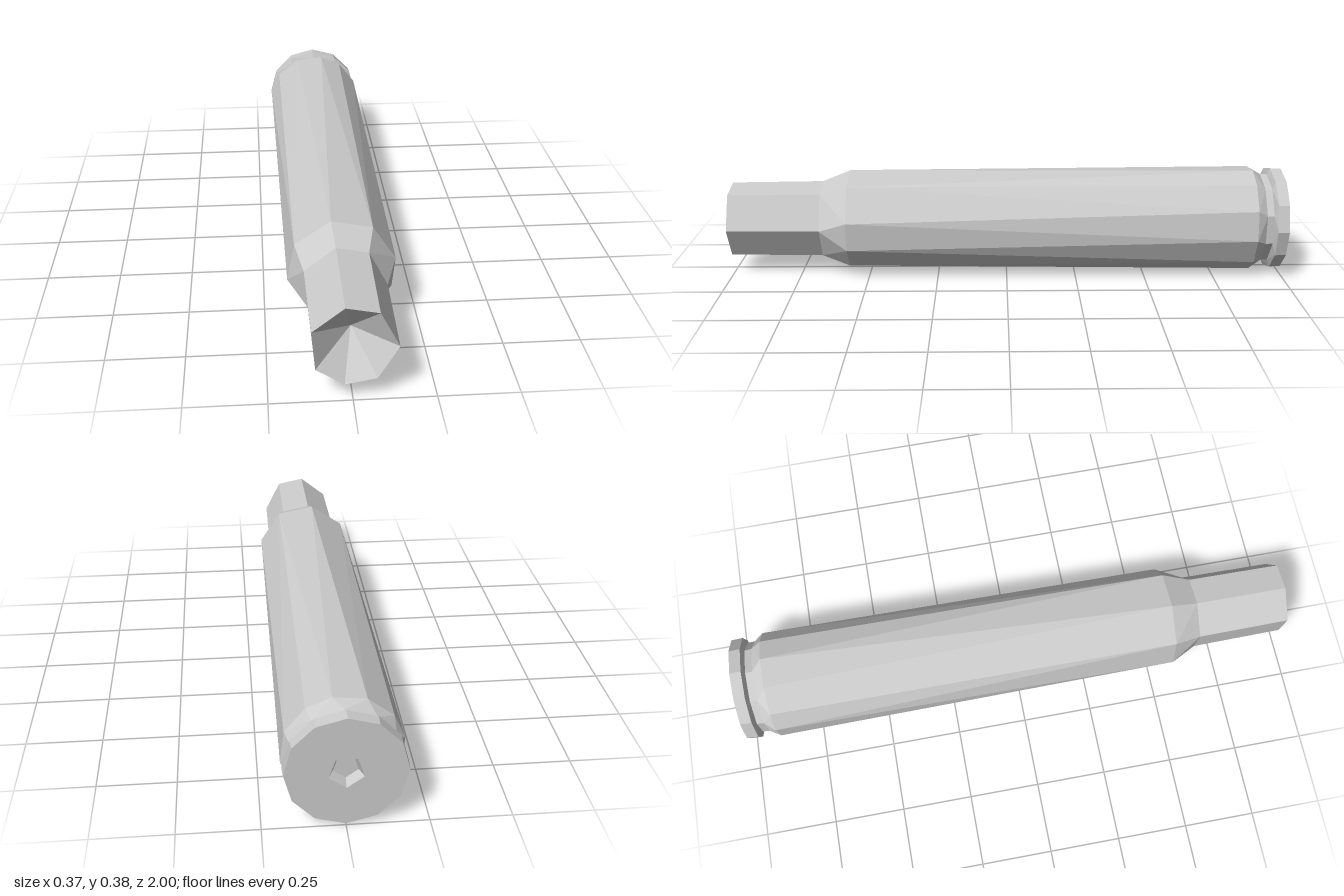
import * as THREE from 'three';

const AXIS_Y = 0.189;
const material = new THREE.MeshStandardMaterial({ color: 0xcccccc, flatShading: true });

// Evenly spaced angles in degrees, starting at the underside
const even = (n, start = -90) => Array.from({ length: n }, (_, i) => start + (360 / n) * i);

// A ring is a polygon of given angles and radius across the long axis
const ring = (z, r, angles) => ({ z, r, angles });

function ringPoint({ z, r, angles }, i) {
  const a = THREE.MathUtils.degToRad(angles[i % angles.length]);
  return [r * Math.cos(a), AXIS_Y + r * Math.sin(a), z];
}

// Joins two rings, even with different side counts, by walking both in angle order
function stitch(a, b, out) {
  const na = a.angles.length, nb = b.angles.length;
  const angle = (g, i) => g.angles[i % g.angles.length] + 360 * Math.floor(i / g.angles.length);
  let i = 0, j = 0;
  while (i < na || j < nb) {
    const midA = angle(a, i) + angle(a, i + 1), midB = angle(b, j) + angle(b, j + 1);
    const stepA = j === nb || (i < na && midA <= midB);
    if (stepA) {
      if (na > 1) out.push(...ringPoint(a, i), ...ringPoint(b, j), ...ringPoint(a, i + 1));
      i++;
    } else {
      if (nb > 1) out.push(...ringPoint(a, i), ...ringPoint(b, j), ...ringPoint(b, j + 1));
      j++;
    }
  }
}

function loft(name, rings) {
  const positions = [];
  for (let k = 0; k + 1 < rings.length; k++) stitch(rings[k], rings[k + 1], positions);
  const geometry = new THREE.BufferGeometry();
  geometry.setAttribute('position', new THREE.Float32BufferAttribute(positions, 3));
  geometry.computeVertexNormals();
  const mesh = new THREE.Mesh(geometry, material);
  mesh.name = name;
  return mesh;
}

export function createModel() {
  const group = new THREE.Group();
  group.name = 'cartridgeCase';

  const neckAngles = [-101, -58, -2, 56, 101, 156, 214];
  const shoulderAngles = [-90, -56, -23, 11, 56, 101, 148, 191, 235];
  const bodyAngles = [-90, -68, -42, -10, 23, 54, 80, 112, 143, 169, 202, 235];

  const mouth = ring(1, 0.134, neckAngles);
  const neckBase = ring(0.67, 0.138, neckAngles);
  const shoulder = ring(0.57, 0.178, shoulderAngles);
  const bodyEnd = ring(-0.89, 0.189, bodyAngles);
  const grooveFront = ring(-0.925, 0.165, even(10));
  const grooveBack = ring(-0.95, 0.163, even(10));
  const rimFront = ring(-0.96, 0.186, even(12));
  const rimBack = ring(-1, 0.184, even(12));
  const pocket = ring(-1, 0.055, even(5));
  const pocketFloor = ring(-0.97, 0.04, even(5));

  group.add(
    // Shallow cone inside the open mouth
    loft('mouthHollow', [ring(0.89, 0, [-90]), mouth]),
    loft('neck', [mouth, neckBase]),
    loft('shoulder', [neckBase, shoulder]),
    loft('body', [shoulder, bodyEnd]),
    // Chamfer and extractor groove ahead of the rim
    loft('groove', [bodyEnd, grooveFront, grooveBack, rimFront]),
    loft('rim', [rimFront, rimBack]),
    loft('headFace', [rimBack, pocket]),
    // Five-sided recess in the head
    loft('primerPocket', [pocket, pocketFloor, ring(-0.97, 0, [-90])]),
  );
  return group;
}
